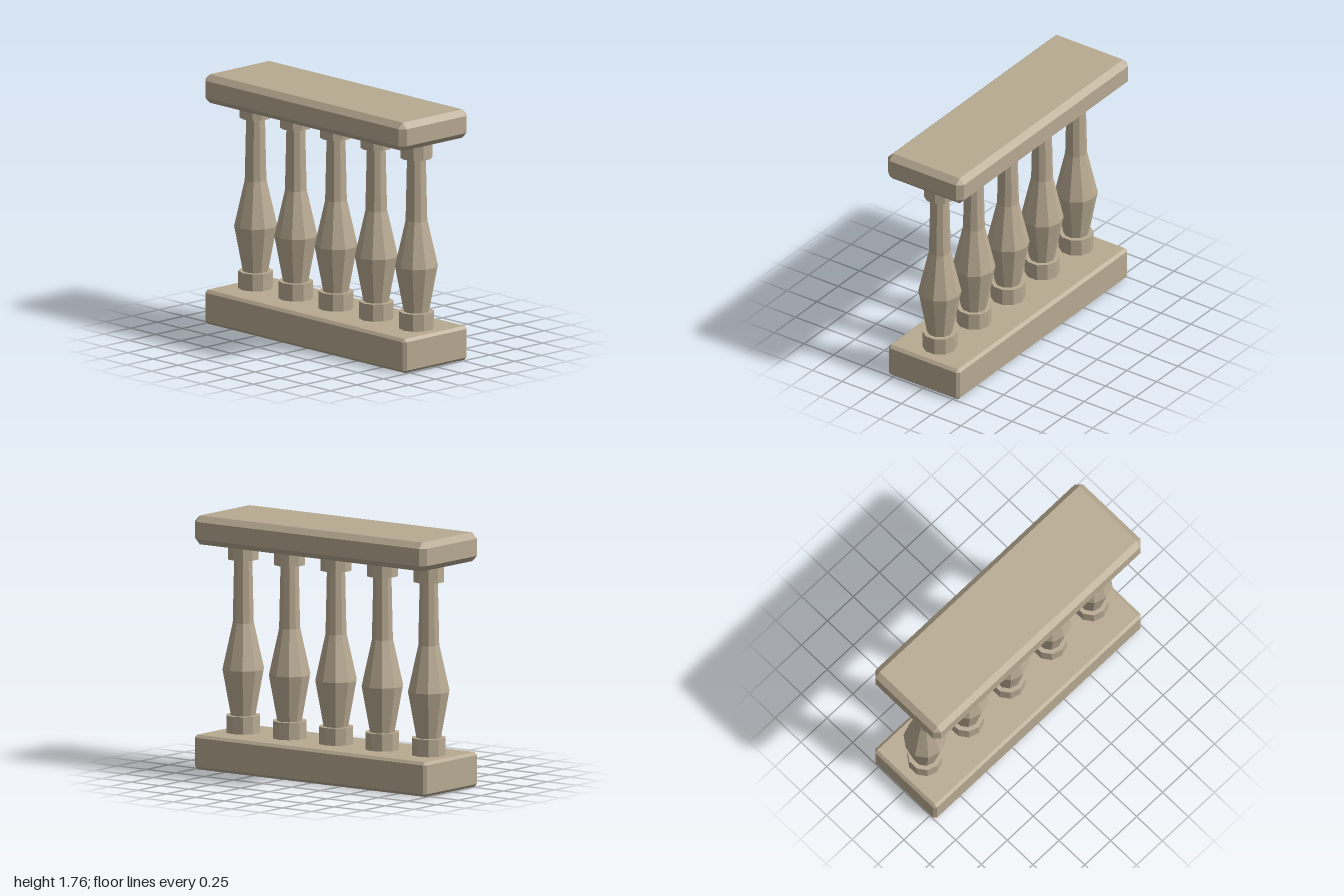
import * as THREE from 'three';
import { ConvexGeometry } from 'three/addons/geometries/ConvexGeometry.js';

const SIDES = 10;

// Box with every edge and corner chamfered by c
function chamferedBox(w, h, d, c) {
  const points = [];
  for (const sx of [-1, 1]) for (const sy of [-1, 1]) for (const sz of [-1, 1]) {
    const x = w / 2, y = h / 2, z = d / 2;
    points.push(
      new THREE.Vector3(sx * x, sy * (y - c), sz * (z - c)),
      new THREE.Vector3(sx * (x - c), sy * y, sz * (z - c)),
      new THREE.Vector3(sx * (x - c), sy * (y - c), sz * z));
  }
  return new ConvexGeometry(points);
}

export function createModel() {
  const stone = new THREE.MeshStandardMaterial({ color: 0xb8aa92 });
  stone.name = 'stone';
  stone.flatShading = true;

  const model = new THREE.Group();
  model.name = 'balustrade';

  const add = (parent, name, geometry, y) => {
    const mesh = new THREE.Mesh(geometry, stone);
    mesh.name = name;
    mesh.position.y = y;
    parent.add(mesh);
  };

  // Plinth and handrail
  add(model, 'basePlinth', chamferedBox(2, 0.24, 0.6, 0.02), 0.12);
  add(model, 'topRail', chamferedBox(2, 0.2, 0.64, 0.04), 1.66);

  // Shared baluster parts
  const profile = [[0.088, 0.36], [0.148, 0.68], [0.075, 1.0], [0.065, 1.44]]
    .map(([r, y]) => new THREE.Vector2(r, y));
  const shaft = new THREE.LatheGeometry(profile, SIDES);
  const foot = new THREE.CylinderGeometry(0.12, 0.12, 0.12, SIDES);
  const capital = new THREE.CylinderGeometry(0.11, 0.11, 0.12, SIDES);

  // Row of five balusters
  for (let i = -2; i <= 2; i++) {
    const baluster = new THREE.Group();
    baluster.name = `baluster${i + 3}`;
    baluster.position.x = i * 0.4;
    add(baluster, 'foot', foot, 0.3);
    add(baluster, 'shaft', shaft, 0);
    add(baluster, 'capital', capital, 1.5);
    model.add(baluster);
  }
  return model;
}
